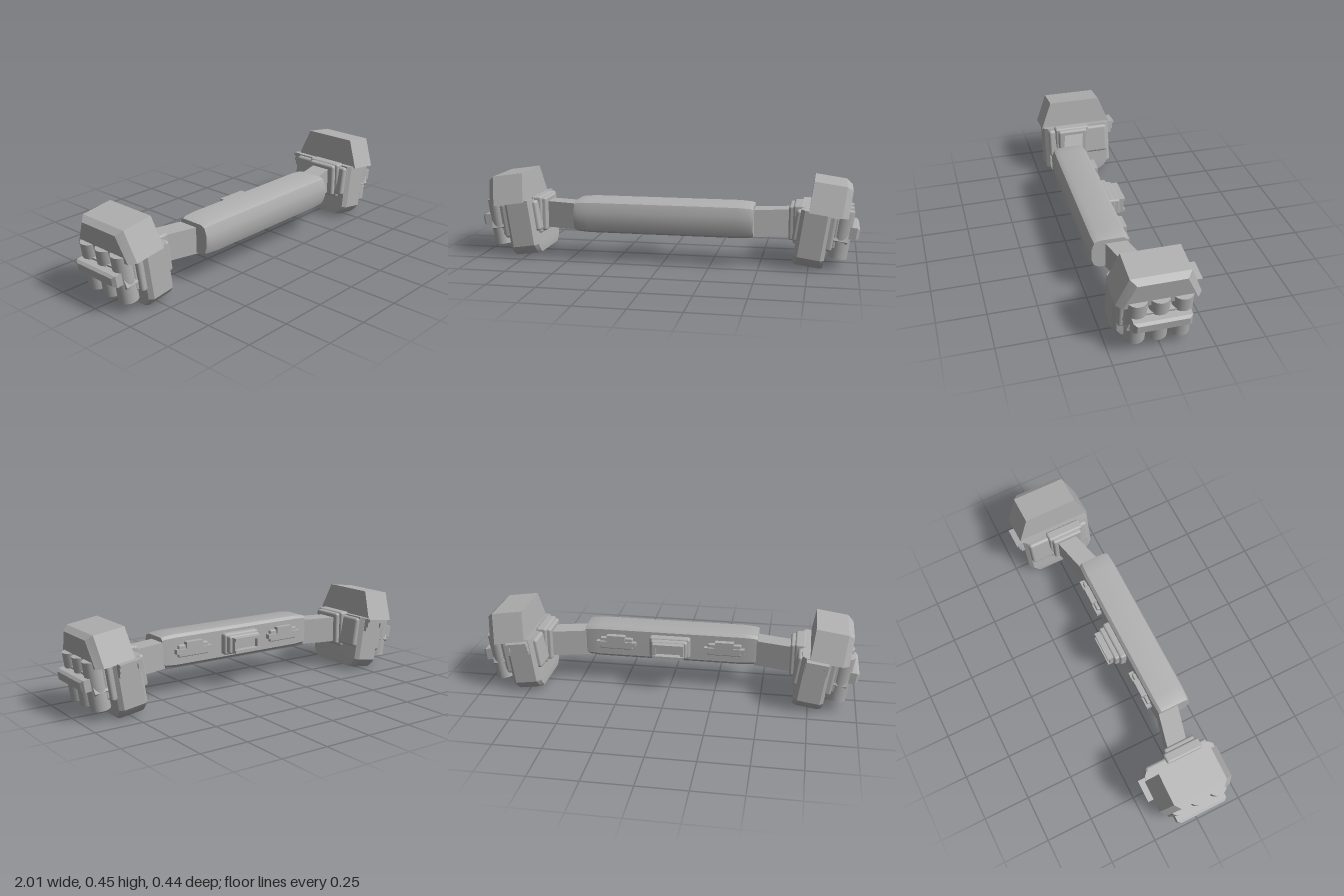
import * as THREE from 'three';
import { toCreasedNormals } from 'three/addons/utils/BufferGeometryUtils.js';
import { RoundedBoxGeometry } from 'three/addons/geometries/RoundedBoxGeometry.js';

const grey = new THREE.MeshStandardMaterial({ color: 0xb0b0b0 });
grey.name = 'plain grey';

function add(parent, name, geometry, x = 0, y = 0, z = 0) {
  const mesh = new THREE.Mesh(geometry, grey);
  mesh.name = name;
  mesh.position.set(x, y, z);
  parent.add(mesh);
  return mesh;
}

// Solid skin through matching loops of [x, y, z], capped at both ends
function loft(loops, crease = 0.3) {
  const pos = [];
  const tri = (a, b, c) => pos.push(...a, ...b, ...c);
  const n = loops[0].length;
  for (let i = 0; i < loops.length - 1; i++) {
    for (let j = 0; j < n; j++) {
      const k = (j + 1) % n;
      tri(loops[i][j], loops[i][k], loops[i + 1][k]);
      tri(loops[i][j], loops[i + 1][k], loops[i + 1][j]);
    }
  }
  const first = loops[0], last = loops[loops.length - 1];
  for (let j = 1; j < n - 1; j++) {
    tri(first[0], first[j + 1], first[j]);
    tri(last[0], last[j], last[j + 1]);
  }
  const g = new THREE.BufferGeometry();
  g.setAttribute('position', new THREE.Float32BufferAttribute(pos, 3));
  g.computeVertexNormals();
  return toCreasedNormals(g, crease);
}

// Loop across x from [z, y] points, and a rectangle version of it
const acrossX = (x, pts) => pts.map(([z, y]) => [x, y, z]);
const rectX = (x, z0, z1, y0, y1) => acrossX(x, [[z0, y1], [z1, y1], [z1, y0], [z0, y0]]);

// Horizontal rectangle with cut corners
function cutRect(y, hx, hz, c) {
  return [[c - hx, hz], [hx - c, hz], [hx, hz - c], [hx, c - hz],
    [hx - c, -hz], [c - hx, -hz], [-hx, c - hz], [-hx, hz - c]].map(([x, z]) => [x, y, z]);
}

// Block given by its limits, with small rounded edges when r > 0
function block(parent, name, [x0, x1], [y0, y1], [z0, z1], r = 0) {
  const size = [x1 - x0, y1 - y0, z1 - z0];
  const g = r ? new RoundedBoxGeometry(...size, 2, r) : new THREE.BoxGeometry(...size);
  return add(parent, name, g, (x0 + x1) / 2, (y0 + y1) / 2, (z0 + z1) / 2);
}

// Tilted pouch with lid, side panels, canisters and back buckle
function makePouch() {
  const p = new THREE.Group();
  p.name = 'pouch';
  p.position.set(0.745, 0.013, 0.012);
  p.rotation.z = -0.144;

  add(p, 'pouchBody', loft([
    cutRect(0, 0.074, 0.148, 0.015), cutRect(0.02, 0.077, 0.172, 0.018),
    cutRect(0.05, 0.078, 0.195, 0.02), cutRect(0.292, 0.078, 0.195, 0.02),
  ]));

  const lidEdge = [[-0.145, 0.437], [0.145, 0.437], [0.205, 0.285], [-0.205, 0.285]];
  const lidFace = [[-0.118, 0.417], [0.118, 0.417], [0.178, 0.285], [-0.178, 0.285]];
  add(p, 'pouchLid', loft([
    acrossX(-0.038, lidEdge), acrossX(0.128, lidEdge), acrossX(0.161, lidFace),
  ]));

  block(p, 'outerPanel', [0.06, 0.105], [0.1, 0.288], [-0.178, 0.178], 0.015);
  block(p, 'outerPanelRaised', [0.09, 0.12], [0.112, 0.278], [-0.155, 0.155], 0.01);
  block(p, 'innerPanel', [-0.1, -0.06], [0.12, 0.285], [-0.175, 0.175], 0.015);

  // Row of canisters held by a plate and bar
  for (const z of [-0.11, 0, 0.108]) {
    add(p, 'canister', new THREE.CylinderGeometry(0.05, 0.05, 0.247, 32), 0.14, 0.191, z);
  }
  const plate = [[-0.125, 0.248], [0.125, 0.248], [0.16, 0.16], [0.15, 0.15], [-0.15, 0.15], [-0.16, 0.16]];
  add(p, 'holderPlate', loft([acrossX(0.1, plate), acrossX(0.175, plate)]));
  add(p, 'holderBar', loft([
    rectX(0.17, -0.14, 0.14, 0.176, 0.238), rectX(0.214, -0.14, 0.14, 0.176, 0.238),
    rectX(0.228, -0.124, 0.124, 0.187, 0.228),
  ]));

  // Buckle on the back face
  block(p, 'buckleBase', [-0.055, 0.06], [0.218, 0.288], [-0.213, -0.18]);
  block(p, 'buckleFlange', [-0.055, 0.06], [0.272, 0.288], [-0.234, -0.2]);
  for (const x of [-0.055, 0.043]) {
    block(p, 'bucklePost', [x, x + 0.017], [0.24, 0.275], [-0.223, -0.2]);
  }
  return p;
}

// One end: strap, mount and pouch
function makeSide(name) {
  const g = new THREE.Group();
  g.name = name;
  add(g, 'strap', loft([
    rectX(0.455, 0.038, 0.148, 0.152, 0.293), rectX(0.66, -0.012, 0.095, 0.152, 0.293),
  ]));
  block(g, 'strapMount', [0.645, 0.7], [0.138, 0.318], [-0.035, 0.135], 0.012);
  block(g, 'mountBase', [0.668, 0.725], [0.125, 0.325], [-0.05, 0.15], 0.012);
  g.add(makePouch());
  return g;
}

export function createModel() {
  const model = new THREE.Group();
  model.name = 'beltWithPouches';

  // Centre section, slightly narrowed at its ends
  const profile = [[0.045, 0.325], [0.18, 0.325], [0.207, 0.312], [0.222, 0.265], [0.222, 0.205],
    [0.207, 0.163], [0.18, 0.15], [0.045, 0.15], [0.03, 0.165], [0.03, 0.31]];
  const stations = [[-0.47, 0.89], [-0.45, 0.95], [-0.39, 1], [0.39, 1], [0.45, 0.95], [0.47, 0.89]];
  add(model, 'beltCentre', loft(stations.map(([x, s]) => acrossX(x, profile.map(
    ([z, y]) => [0.126 + (z - 0.126) * (0.4 + 0.6 * s), 0.2375 + (y - 0.2375) * s]))), 0.55));

  // Middle buckle on the back: pad with an open frame
  block(model, 'backPad', [-0.11, 0.11], [0.18, 0.295], [-0.005, 0.045], 0.012);
  block(model, 'backPadRaised', [-0.098, 0.098], [0.19, 0.285], [-0.032, 0.02], 0.01);
  for (const y of [0.197, 0.262]) {
    block(model, 'backFrameRail', [-0.083, 0.083], [y, y + 0.016], [-0.065, -0.02]);
  }
  for (const x of [-0.083, 0.067]) {
    block(model, 'backFrameEnd', [x, x + 0.016], [0.205, 0.27], [-0.055, -0.02]);
  }

  // Small clips either side of it
  for (const s of [-1, 1]) {
    const clip = new THREE.Group();
    clip.name = 'backClip';
    clip.position.x = 0.295 * s;
    block(clip, 'clipPlate', [-0.09, 0.09], [0.205, 0.27], [0.012, 0.04], 0.006);
    block(clip, 'clipBar', [-0.108, 0.108], [0.225, 0.25], [0.002, 0.035]);
    block(clip, 'clipTab', [-0.05, 0.05], [0.245, 0.285], [0, 0.035]);
    model.add(clip);
  }

  // Matching ends
  const left = makeSide('leftEnd');
  const right = makeSide('rightEnd');
  right.scale.x = -1;
  model.add(left, right);
  return model;
}
